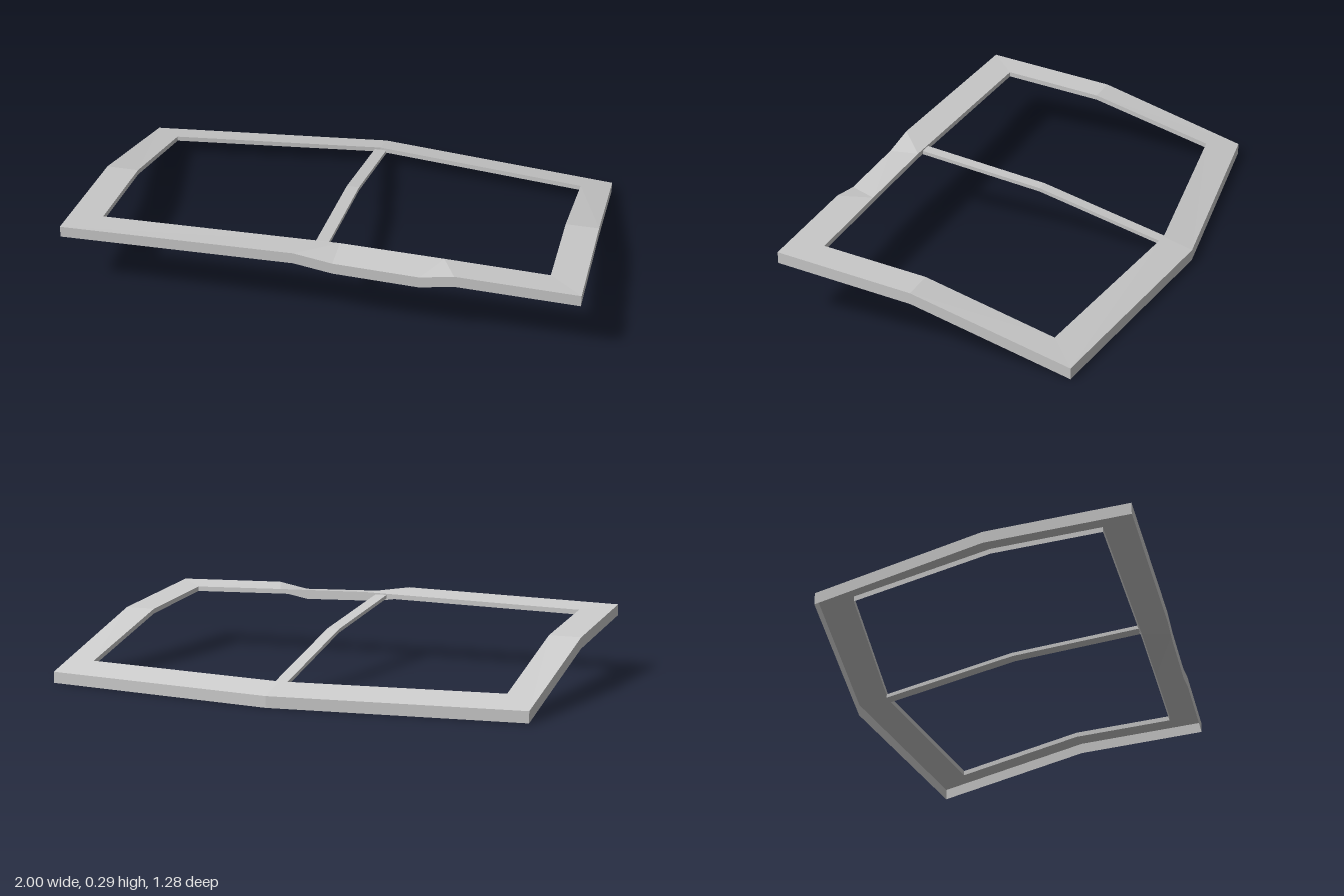
import * as THREE from 'three';

const material = new THREE.MeshStandardMaterial({
  color: 0xcccccc, flatShading: true, side: THREE.DoubleSide,
});

// Strip of quads between two rails of points (a runs along the bottom, b along the top)
function strip(name, a, b, closed) {
  const pos = [];
  const count = closed ? a.length : a.length - 1;
  const tri = (p, q, r) => {
    const area = new THREE.Triangle(p, q, r).getArea();
    if (area > 1e-7) for (const v of [p, q, r]) pos.push(v.x, v.y, v.z);
  };
  for (let i = 0; i < count; i++) {
    const j = (i + 1) % a.length;
    tri(a[i], a[j], b[j]);
    tri(a[i], b[j], b[i]);
  }
  const geometry = new THREE.BufferGeometry();
  geometry.setAttribute('position', new THREE.Float32BufferAttribute(pos, 3));
  geometry.computeVertexNormals();
  const mesh = new THREE.Mesh(geometry, material);
  mesh.name = name;
  return mesh;
}

const points = (list) => list.map((p) => new THREE.Vector3(...p));
const lower = (list, d) => list.map((p) => new THREE.Vector3(p.x, p.y - d, p.z));
const shift = (list, dx) => list.map((p) => new THREE.Vector3(p.x + dx, p.y, p.z));

export function createModel() {
  const group = new THREE.Group();
  group.name = 'windowFrame';

  // Outer rim, counter-clockwise from above: dipped front bar, sides, pointed back
  const outer = points([
    [-1, 0.275, 0.64], [-0.08, 0.295, 0.64], [0.07, 0.272, 0.64], [0.4, 0.262, 0.64],
    [0.53, 0.286, 0.64], [1, 0.275, 0.64], [1, 0.22, 0.1], [0.99, 0.045, -0.52],
    [0, 0.045, -0.64], [-0.99, 0.045, -0.52], [-1, 0.22, 0.1],
  ]);
  // Opening rim, paired point for point with the outer rim
  const inner = points([
    [-0.87, 0.262, 0.515], [0.07, 0.282, 0.515], [0.07, 0.282, 0.515], [0.47, 0.273, 0.515],
    [0.47, 0.273, 0.515], [0.87, 0.262, 0.515], [0.87, 0.22, 0.1], [0.87, 0.08, -0.41],
    [0, 0.08, -0.52], [-0.87, 0.08, -0.41], [-0.87, 0.22, 0.1],
  ]);

  // Hollow frame, open underneath: top face, deep outer skirt, shallow inner lip
  const frame = new THREE.Group();
  frame.name = 'frame';
  frame.add(strip('frameTop', outer, inner, true));
  frame.add(strip('outerSkirt', lower(outer, 0.045), outer, true));
  frame.add(strip('innerLip', inner, lower(inner, 0.02), true));
  group.add(frame);

  // Thin bent bar down the middle
  const bar = new THREE.Group();
  bar.name = 'centreBar';
  const line = points([[0, 0.275, 0.515], [0, 0.205, 0], [0, 0.07, -0.52]]);
  const left = shift(line, 0.025), right = shift(line, -0.025);
  const leftLow = lower(left, 0.015), rightLow = lower(right, 0.015);
  bar.add(strip('barTop', left, right, false));
  bar.add(strip('barLeft', leftLow, left, false));
  bar.add(strip('barRight', right, rightLow, false));
  bar.add(strip('barUnderside', rightLow, leftLow, false));
  group.add(bar);

  return group;
}
